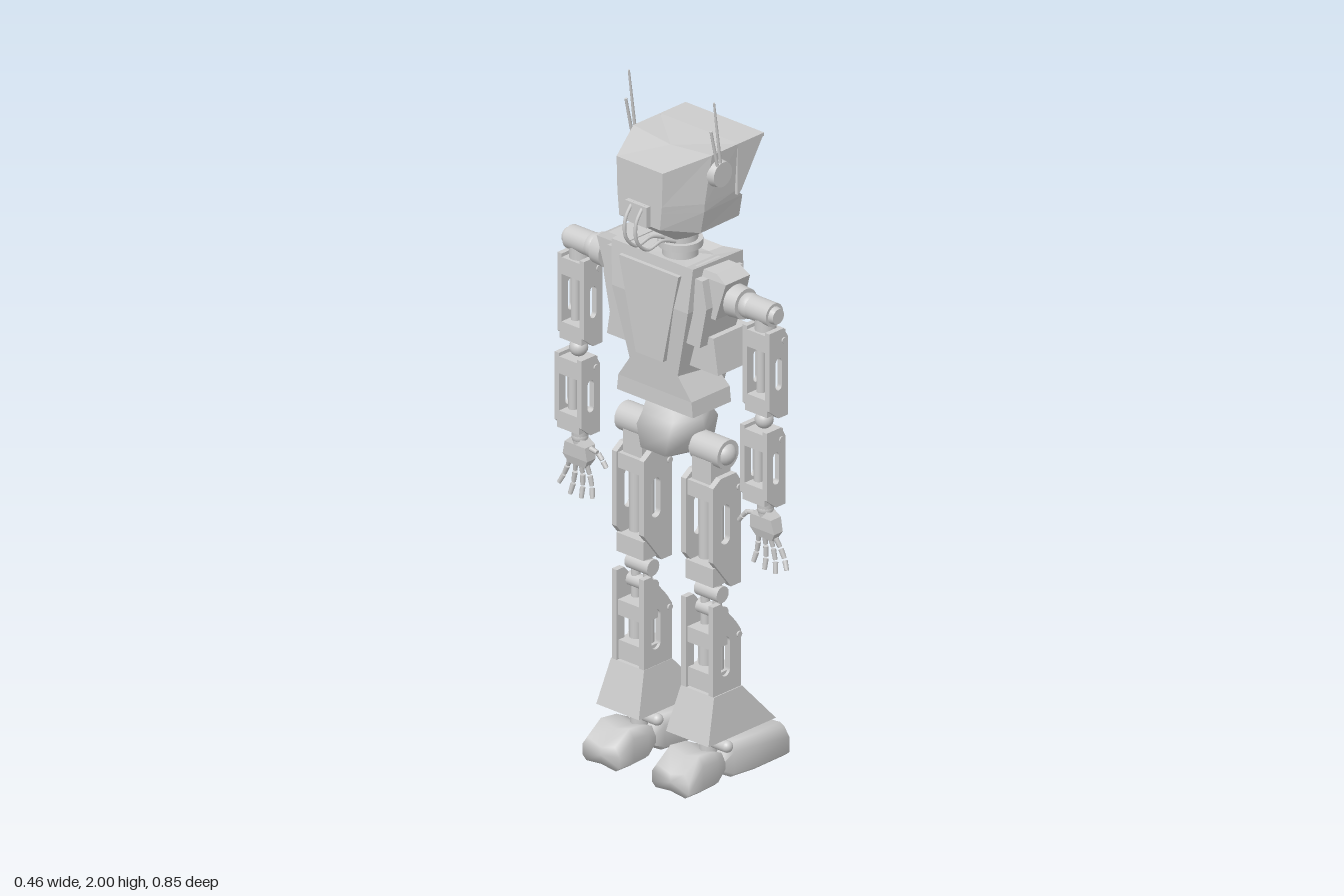
import * as THREE from 'three';

const flat = new THREE.MeshStandardMaterial({ color: 0xcccccc, flatShading: true, side: THREE.DoubleSide });
const smooth = new THREE.MeshStandardMaterial({ color: 0xcccccc });
const V = (x, y, z) => new THREE.Vector3(x, y, z);

function add(parent, name, geo, mat = flat, x = 0, y = 0, z = 0) {
  const m = new THREE.Mesh(geo, mat);
  m.name = name;
  m.position.set(x, y, z);
  parent.add(m);
  return m;
}
const box = (p, n, x, y, z, w, h, d) => add(p, n, new THREE.BoxGeometry(w, h, d), flat, x, y, z);
const ball = (p, n, x, y, z, r) => add(p, n, new THREE.SphereGeometry(r, 20, 14), smooth, x, y, z);

// cylinder between two points
function rod(p, n, a, b, r0, r1 = r0, seg = 16) {
  const d = b.clone().sub(a);
  const m = add(p, n, new THREE.CylinderGeometry(r1, r0, d.length(), seg), smooth);
  m.position.copy(a).addScaledVector(d, 0.5);
  m.quaternion.setFromUnitVectors(V(0, 1, 0), d.normalize());
  return m;
}

// capped skin over rings of [x, y, z] corners, always wound outward
function loft(p, n, rings, mat = flat) {
  const k = rings[0].length, pts = rings.flat().map((c) => V(...c)), idx = [];
  rings.slice(1).forEach((_, r) => {
    for (let i = 0; i < k; i++) {
      const a = r * k + i, b = r * k + (i + 1) % k;
      idx.push(a, b, b + k, a, b + k, a + k);
    }
  });
  const ends = [0, (rings.length - 1) * k];
  ends.forEach((o, e) => {
    const c = V(0, 0, 0);
    for (let i = 0; i < k; i++) c.addScaledVector(pts[o + i], 1 / k);
    pts.push(c);
    for (let i = 0; i < k; i++) {
      const a = o + i, b = o + (i + 1) % k;
      idx.push(pts.length - 1, e ? a : b, e ? b : a);
    }
  });
  let vol = 0;
  for (let i = 0; i < idx.length; i += 3)
    vol += pts[idx[i]].dot(pts[idx[i + 1]].clone().cross(pts[idx[i + 2]]));
  if (vol < 0) idx.reverse();
  const g = new THREE.BufferGeometry().setFromPoints(pts);
  g.setIndex(idx);
  g.computeVertexNormals();
  return add(p, n, g, mat);
}

// half outline mirrored across z = 0: entries are [x, halfWidth, y]
const ring = (half) => [...half.map(([x, z, y]) => [x, y, z]), ...half.slice().reverse().map(([x, z, y]) => [x, y, -z])];
const quad = (y, x0, x1, z0, z1) => [[x0, y, z0], [x1, y, z0], [x1, y, z1], [x0, y, z1]];

// side plate cut from an x-y outline, with an optional upright slot
function plate(p, n, outline, z, t, slot) {
  const s = new THREE.Shape(outline.map((c) => new THREE.Vector2(...c)));
  if (slot) {
    const [x, y, r, h] = slot, hole = new THREE.Path();
    hole.absarc(x, y + h, r, 0, Math.PI, false);
    hole.absarc(x, y - h, r, Math.PI, Math.PI * 2, false);
    hole.closePath();
    s.holes.push(hole);
  }
  return add(p, n, new THREE.ExtrudeGeometry(s, { depth: t, bevelEnabled: false, curveSegments: 8 }), flat, 0, 0, z - t / 2);
}

function roundedRect(S, zt, zb, y0, y1, r) {
  return new S().moveTo(-zb + r, y0).lineTo(zb - r, y0).quadraticCurveTo(zb, y0, zb, y0 + r)
    .lineTo(zt, y1 - r).quadraticCurveTo(zt, y1, zt - r, y1).lineTo(-zt + r, y1)
    .quadraticCurveTo(-zt, y1, -zt, y1 - r).lineTo(-zb, y0 + r).quadraticCurveTo(-zb, y0, -zb + r, y0);
}

function buildHead() {
  const h = new THREE.Group();
  h.name = 'head';
  const level = (y, xb, zb, xm, zm, xf, zf, yb = y) => ring([[xb, zb, yb], [xm, zm, y], [xf, zf, y]]);
  loft(h, 'skull', [
    level(1.565, -0.085, 0.035, -0.05, 0.05, 0.02, 0.04),
    level(1.61, -0.19, 0.075, -0.08, 0.122, 0.075, 0.118, 1.64),
    level(1.675, -0.19, 0.08, -0.08, 0.135, 0.075, 0.13, 1.69),
    level(1.70, -0.19, 0.082, -0.08, 0.137, 0.045, 0.135, 1.71),
    level(1.84, -0.19, 0.085, -0.06, 0.145, 0.045, 0.145, 1.81)]);
  // open hood around the face
  box(h, 'hoodTop', 0.095, 1.835, 0, 0.1, 0.01, 0.29);
  for (const s of [1, -1]) plate(h, 'hoodCheek', [[0.04, 1.84], [0.145, 1.84], [0.055, 1.7], [0.04, 1.69]], s * 0.14, 0.01);
  const frame = roundedRect(THREE.Shape, 0.122, 0.11, 1.685, 1.825, 0.025);
  frame.holes.push(roundedRect(THREE.Path, 0.11, 0.099, 1.697, 1.813, 0.02));
  const f = add(h, 'visorFrame', new THREE.ExtrudeGeometry(frame, { depth: 0.02, bevelEnabled: false, curveSegments: 6 }), flat, 0.042);
  f.rotation.y = Math.PI / 2;
  rod(h, 'mouthPort', V(0.07, 1.63, 0), V(0.085, 1.63, 0), 0.016);
  for (const s of [1, -1]) {
    rod(h, 'earDisc', V(-0.035, 1.78, s * 0.135), V(-0.035, 1.78, s * 0.162), 0.04, 0.036, 24);
    rod(h, 'longAntenna', V(-0.035, 1.78, s * 0.157), V(-0.065, 2, s * 0.157), 0.005, 0.003, 8);
    rod(h, 'shortAntenna', V(-0.045, 1.78, s * 0.157), V(-0.077, 1.92, s * 0.157), 0.005, 0.004, 8);
    // looped cable into the back of the neck
    const path = new THREE.CatmullRomCurve3([[-0.195, 1.7], [-0.225, 1.655], [-0.222, 1.6], [-0.18, 1.562], [-0.125, 1.57], [-0.07, 1.55]]
      .map(([x, y]) => V(x, y, s * 0.02)));
    add(h, 'neckCable', new THREE.TubeGeometry(path, 28, 0.005, 8), smooth);
  }
  box(h, 'cablePlug', -0.19, 1.67, 0, 0.03, 0.06, 0.08);
  rod(h, 'neck', V(-0.03, 1.46, 0), V(-0.03, 1.58, 0), 0.05, 0.048, 24);
  rod(h, 'neckCollar', V(-0.03, 1.525, 0), V(-0.03, 1.545, 0), 0.062, 0.062, 24);
  return h;
}

function buildTorso() {
  const t = new THREE.Group();
  t.name = 'torso';
  loft(t, 'chest', [
    ring([[0.085, 0.035, 1.08], [0.05, 0.075, 1.08], [-0.1, 0.075, 1.08]]),
    ring([[0.085, 0.05, 1.2], [0.055, 0.105, 1.2], [-0.135, 0.09, 1.2]]),
    ring([[0.085, 0.07, 1.42], [0.055, 0.155, 1.42], [-0.15, 0.14, 1.4]]),
    ring([[0.085, 0.05, 1.495], [0.04, 0.165, 1.535], [-0.14, 0.15, 1.53]]),
    ring([[0.05, 0.03, 1.485], [0.02, 0.08, 1.5], [-0.1, 0.08, 1.5]])]);
  loft(t, 'waistSkirt', [quad(1.085, -0.13, 0.02, -0.14, 0.14), quad(1.13, -0.13, 0.02, -0.135, 0.135), quad(1.2, -0.135, 0, -0.085, 0.085)]);
  loft(t, 'backPanel', [quad(1.23, -0.152, -0.12, -0.05, 0.05), quad(1.5, -0.155, -0.12, -0.11, 0.11)]);
  for (const s of [1, -1]) {
    loft(t, 'sideArmour', [quad(1.22, -0.1, 0.04, s * 0.1, s * 0.205), quad(1.325, -0.1, 0.04, s * 0.13, s * 0.188)]);
    loft(t, 'sidePanel', [quad(1.3, -0.13, 0.0, s * 0.1, s * 0.165), quad(1.42, -0.13, 0.03, s * 0.12, s * 0.19), quad(1.5, -0.13, 0.03, s * 0.12, s * 0.175)]);
    loft(t, 'shoulderBox', [quad(1.385, -0.105, 0, s * 0.12, s * 0.2), quad(1.5, -0.105, -0.01, s * 0.12, s * 0.238), quad(1.52, -0.1, -0.01, s * 0.12, s * 0.2)]);
  }
  const hip = (y, x0, x1, z, drop = 0) => ring([[x0, z * 0.6, y], [(x0 + x1) / 2, z, y], [x1, z * 0.6, y], [x1, 0.008, y - drop]]);
  loft(t, 'pelvis', [hip(0.93, -0.1, 0.03, 0.055, 0.01), hip(0.945, -0.138, 0.055, 0.075, 0.015),
    hip(1.01, -0.138, 0.055, 0.1), hip(1.04, -0.12, 0.035, 0.095), hip(1.085, -0.11, 0.01, 0.08)], smooth);
  return t;
}

function buildArm(s) {
  const a = new THREE.Group(), x = -0.06, c = 0.342;
  a.name = s > 0 ? 'rightArm' : 'leftArm';
  const P = (y, z, px = x) => V(px, y, s * z);
  rod(a, 'shoulderCollar', P(1.44, 0.23), P(1.44, 0.27), 0.047, 0.044, 24);
  ball(a, 'shoulderBall', x, 1.44, s * 0.285, 0.036);
  rod(a, 'shoulderDrum', P(1.44, 0.29), P(1.44, 0.375), 0.034, 0.034, 24);
  rod(a, 'shoulderCap', P(1.44, 0.372), P(1.44, 0.39), 0.026, 0.022);
  // both arm sections: end blocks, side plates and inner pistons
  for (const [name, lo, hi, px] of [['upperArm', 1.14, 1.4, -0.06], ['forearm', 0.88, 1.11, -0.07]]) {
    const w = 0.037, mid = (lo + hi) / 2;
    box(a, name + 'TopBlock', px, hi - 0.035, s * c, w * 2, 0.05, 0.08);
    box(a, name + 'BottomBlock', px, lo + 0.035, s * c, w * 2, 0.05, 0.08);
    for (const o of [1, -1]) {
      plate(a, name + 'Plate', [[px - w, lo + 0.03], [px, lo], [px + w, lo], [px + w, hi - 0.03], [px + 0.02, hi], [px - w, hi]],
        s * c + o * 0.041, 0.016, [px, mid, 0.012, 0.035]);
      rod(a, name + 'Piston', P(lo + 0.03, c + o * 0.016, px), P(hi - 0.03, c + o * 0.016, px), 0.013);
      rod(a, name + 'Bolt', P(hi - 0.035, c + o * 0.045, px + 0.02), P(hi - 0.035, c + o * 0.053, px + 0.02), 0.009);
    }
  }
  rod(a, 'upperArmPivot', P(1.38, c), P(1.44, c), 0.03);
  ball(a, 'elbow', x - 0.005, 1.125, s * c, 0.026);
  rod(a, 'wrist', P(0.82, c), P(0.9, c), 0.018, 0.026);
  ball(a, 'wristBall', x, 0.86, s * c, 0.023);
  // hand with jointed fingers and thumb
  const palm = (y, z0, z1, d) => quad(y, x - d, x + d, s * z0, s * z1);
  loft(a, 'palm', [palm(0.775, 0.315, 0.375, 0.01), palm(0.8, 0.3, 0.39, 0.017), palm(0.84, 0.305, 0.38, 0.02), palm(0.858, 0.325, 0.36, 0.015)]);
  const finger = (name, pts) => pts.slice(1).forEach((p, i) => {
    rod(a, name, pts[i].clone().lerp(p, 0.08), pts[i].clone().lerp(p, 0.9), 0.0075, 0.0065, 8);
  });
  for (let i = 0; i < 4; i++) {
    const z = 0.318 + i * 0.02, out = (i - 1) * 0.009, len = [0.9, 1, 1, 0.8][i];
    finger('finger', [0, 1, 2, 3].map((j) => P(0.785 - j * 0.037 * len, z + out * j * 0.8, x + [0, 0.006, 0.007, 0][j])));
  }
  finger('thumb', [P(0.835, 0.305), P(0.83, 0.275), P(0.812, 0.258), P(0.793, 0.243)]);
  return a;
}

function buildLeg(s) {
  const g = new THREE.Group(), x = -0.045, c = 0.128;
  g.name = s > 0 ? 'rightLeg' : 'leftLeg';
  const P = (y, z, px = x) => V(px, y, s * z);
  rod(g, 'hipAxle', P(0.965, 0.05), P(0.965, 0.1), 0.03);
  rod(g, 'hipDrum', P(0.965, 0.085), P(0.965, 0.19), 0.042, 0.042, 24);
  ball(g, 'hipCap', x, 0.965, s * 0.175, 0.034);
  box(g, 'hipBlock', x, 0.905, s * c, 0.075, 0.08, 0.07);
  // thigh and shin: plates with slots around pistons
  const sections = [
    ['thigh', [[-0.1, 0.88], [-0.07, 0.9], [-0.01, 0.9], [0.01, 0.87], [0.01, 0.57], [-0.03, 0.57], [-0.1, 0.66]], 0.6, 0.865, 0.76],
    ['shin', [[-0.1, 0.53], [-0.07, 0.53], [-0.01, 0.46], [0.01, 0.43], [0.01, 0.25], [-0.1, 0.25]], 0.285, 0.43, 0.37]];
  for (const [name, outline, lo, hi, mid] of sections) {
    box(g, name + 'BottomBlock', -0.042, lo + 0.01, s * c, 0.1, 0.055, 0.1);
    box(g, name + 'TopBlock', -0.045, hi - 0.01, s * c, 0.1, 0.045, 0.1);
    for (const o of [1, -1]) {
      plate(g, name + 'Plate', outline, s * c + o * 0.05, 0.018, [-0.052, mid, 0.018, 0.04]);
      rod(g, name + 'Piston', P(lo, c + o * 0.022), P(hi, c + o * 0.022), 0.018);
      rod(g, name + 'Bolt', P(hi - 0.01, c + o * 0.055, 0), P(hi - 0.01, c + o * 0.064, 0), 0.009);
    }
  }
  for (const o of [1, -1]) rod(g, 'kneeRod', P(0.42, c + o * 0.022), P(0.6, c + o * 0.022), 0.013);
  rod(g, 'kneeAxle', P(0.545, c - 0.042), P(0.545, c + 0.042), 0.024);
  rod(g, 'lowerKneeAxle', P(0.49, c - 0.045), P(0.49, c + 0.045), 0.02);
  // flared ankle guard
  loft(g, 'ankleGuard', [quad(0.137, -0.14, 0.125, s * 0.05, s * 0.207), quad(0.265, -0.1, 0.01, s * 0.068, s * 0.19)]);
  rod(g, 'ankle', P(0.07, c, -0.055), P(0.15, c, -0.055), 0.025);
  rod(g, 'ankleAxle', P(0.108, 0.062, -0.055), P(0.108, 0.195, -0.055), 0.017);
  for (const z of [0.062, 0.195]) ball(g, 'ankleKnob', -0.055, 0.108, s * z, 0.017);
  // foot cross-sections, creased along the middle
  const sec = (px, w, y0, y1, dx = 0) => [[-1, y0 + 0.012, 0], [-0.8, y0, 0], [0, y0 + 0.006, dx], [0.8, y0, 0], [1, y0 + 0.012, 0],
    [1, y1 - 0.025, 0], [0.75, y1, 0], [0, y1 - 0.015, dx], [-0.75, y1, 0], [-1, y1 - 0.025, 0]]
    .map(([k, y, d]) => [px + d, y, s * (c + k * w)]);
  loft(g, 'toe', [sec(-0.075, 0.05, 0.03, 0.06), sec(-0.025, 0.066, 0.004, 0.105), sec(0.06, 0.072, 0, 0.1), sec(0.187, 0.07, 0, 0.082, 0.038)], smooth);
  loft(g, 'heel', [sec(-0.205, 0.068, 0, 0.07), sec(-0.15, 0.07, 0, 0.107), sec(-0.09, 0.068, 0.002, 0.1), sec(-0.04, 0.055, 0.03, 0.075)], smooth);
  return g;
}

export function createModel() {
  const model = new THREE.Group();
  model.name = 'robot';
  model.add(buildHead(), buildTorso());
  for (const s of [1, -1]) model.add(buildArm(s), buildLeg(s));
  return model;
}
